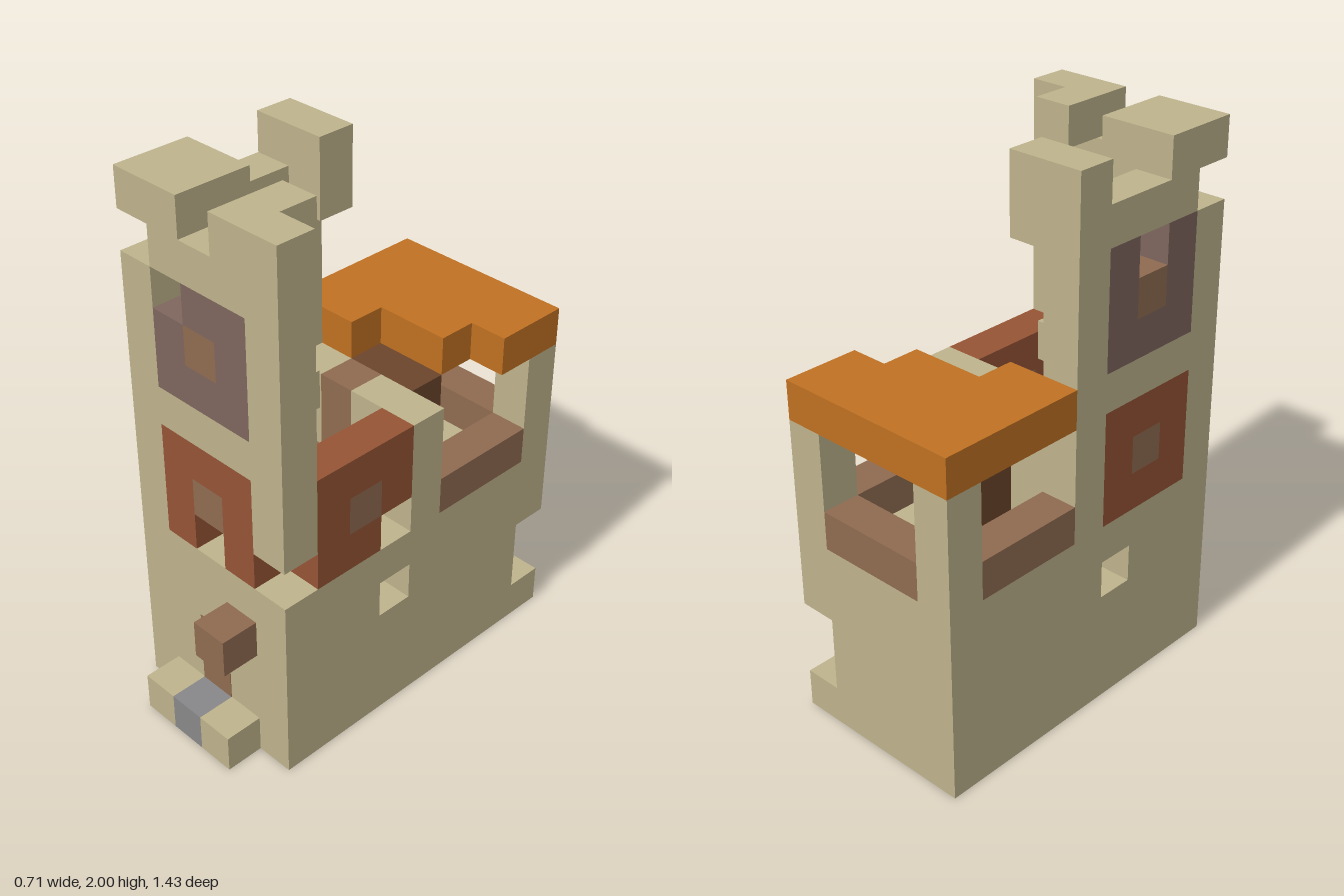
import * as THREE from 'three';

const U = 1 / 7; // one block

export function createModel() {
  const model = new THREE.Group();
  model.name = 'blockTower';
  const mat = (name, color) => {
    const m = new THREE.MeshStandardMaterial({ color });
    m.name = name;
    return m;
  };
  const stone = mat('sandstone', 0xbeb38c);
  const brick = mat('redBrick', 0x955435);
  const mauve = mat('mauveBrick', 0x7f665e);
  const wood = mat('wood', 0x8f6b50);
  const dark = mat('darkWood', 0x6b452b);
  const orange = mat('orangeRoof', 0xc07122);
  const grey = mat('greyStone', 0x88888a);

  // Box filling whole blocks: x 0..4, y 0..13, z 0..9 (front is z = 9), ends inclusive
  const fill = (name, material, [x0, x1], [y0, y1], [z0, z1]) => {
    const geo = new THREE.BoxGeometry((x1 - x0 + 1) * U, (y1 - y0 + 1) * U, (z1 - z0 + 1) * U);
    const mesh = new THREE.Mesh(geo, material);
    mesh.position.set(((x0 + x1) / 2 - 2) * U, ((y0 + y1 + 1) / 2) * U, ((z0 + z1) / 2 - 4.5) * U);
    mesh.name = name;
    model.add(mesh);
    return mesh;
  };
  const block = (name, material, x, y, z) => fill(name, material, [x, x], [y, y], [z, z]);

  // 3 x 3 wall panel with a wooden centre and an optional missing block;
  // at(i) gives the x, z of column i
  const panel = (name, material, y0, at, missing) => {
    for (let i = 0; i < 3; i++) {
      for (let j = 0; j < 3; j++) {
        if (missing && missing[0] === i && missing[1] === j) continue;
        const centre = i === 1 && j === 1;
        const [x, z] = at(i);
        block(centre ? name + 'Centre' : name, centre ? wood : material, x, y0 + j, z);
      }
    }
  };
  const frontWall = (i) => [1 + i, 8];
  const leftSide = (i) => [0, 5 + i];
  const rightSide = (i) => [4, 5 + i];

  // Base, with a notched back corner and a slot in each side
  fill('baseBottom', stone, [0, 4], [0, 0], [0, 8]);
  fill('baseNotchedBack', stone, [0, 3], [1, 2], [0, 0]);
  fill('baseMiddle', stone, [0, 4], [1, 2], [1, 8]);
  fill('baseSlotBack', stone, [0, 4], [3, 3], [0, 4]);
  fill('baseSlotCore', stone, [1, 3], [3, 3], [5, 5]);
  fill('baseSlotFront', stone, [0, 4], [3, 3], [6, 8]);
  fill('baseTop', stone, [0, 4], [4, 4], [0, 8]);

  // Doorstep, door and the block beside it
  block('doorstepSide', stone, 1, 0, 9);
  block('doorstepCentre', grey, 2, 0, 9);
  block('doorstepSide', stone, 3, 0, 9);
  block('doorLamp', wood, 3, 3, 9);
  const door = new THREE.Mesh(new THREE.BoxGeometry(U, 2 * U, 0.004), wood);
  door.position.set(0, 2 * U, 4 * U);
  door.name = 'frontDoor';
  model.add(door);

  // Tower lower storey
  panel('lowerFrontPanel', brick, 5, frontWall, [1, 0]);
  panel('lowerSidePanel', brick, 5, leftSide);
  panel('lowerSidePanel', brick, 5, rightSide, [0, 0]);
  fill('frontCorner', stone, [0, 0], [5, 11], [8, 8]);
  fill('frontCorner', stone, [4, 4], [6, 13], [8, 8]);
  fill('backCorner', stone, [0, 0], [5, 13], [4, 4]);
  fill('backWall', stone, [1, 1], [5, 7], [4, 4]);
  fill('backDoor', wood, [2, 2], [5, 7], [4, 4]);
  fill('backWall', stone, [3, 4], [5, 7], [4, 4]);

  // Tower upper storey
  fill('frontBand', stone, [1, 3], [8, 8], [8, 8]);
  fill('sideBand', stone, [0, 0], [8, 8], [5, 7]);
  fill('upperFloor', stone, [2, 2], [8, 8], [6, 7]);
  panel('upperFrontPanel', mauve, 9, frontWall, [0, 2]);
  panel('upperSidePanel', mauve, 9, leftSide, [1, 2]);

  // Rim and battlements
  fill('frontRim', stone, [1, 3], [12, 12], [8, 8]);
  fill('sideRim', stone, [0, 0], [12, 12], [5, 7]);
  fill('battlement', stone, [0, 1], [13, 13], [7, 8]);
  fill('battlement', stone, [3, 3], [13, 13], [7, 8]);
  fill('battlement', stone, [1, 1], [12, 13], [4, 4]);

  // Winding stairs inside the tower
  for (const [x, y, z] of [[1, 5, 5], [1, 6, 6], [1, 7, 7], [1, 9, 7], [1, 10, 6]]) {
    block('stair', wood, x, y, z);
  }

  // Rear room: corner posts, window sills, cupboard and roof
  for (const x of [0, 4]) {
    fill('rearPost', stone, [x, x], [5, 7], [0, 0]);
    fill('sideSill', wood, [x, x], [5, 5], [1, 3]);
  }
  fill('backSill', wood, [1, 3], [5, 5], [0, 0]);
  fill('cupboard', dark, [2, 3], [5, 7], [3, 3]);
  fill('roofBack', orange, [0, 4], [8, 8], [0, 1]);
  fill('roofMiddle', orange, [0, 3], [8, 8], [2, 2]);
  fill('roofFront', orange, [0, 1], [8, 8], [3, 3]);

  return model;
}
